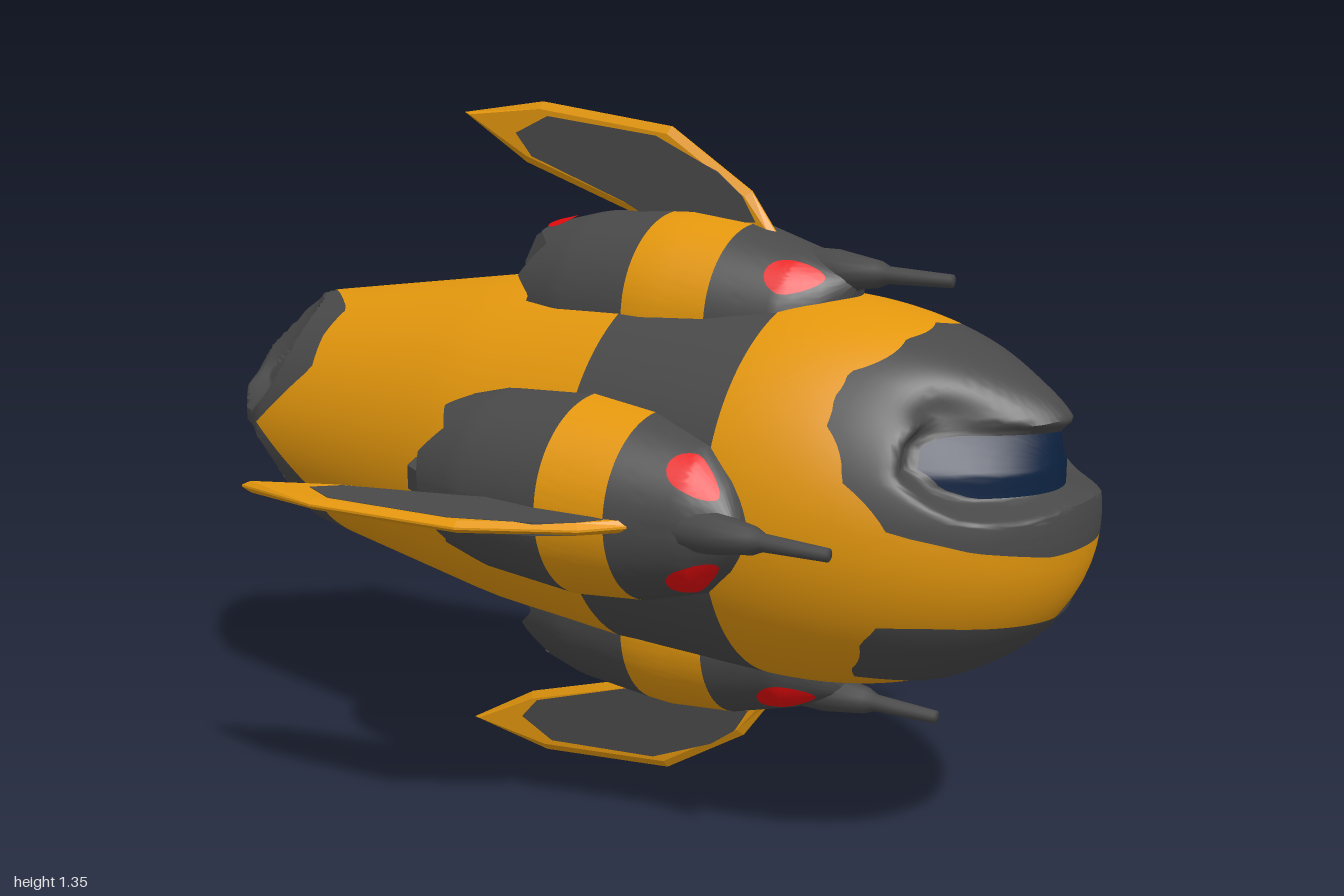
import * as THREE from 'three';
import { toCreasedNormals } from 'three/addons/utils/BufferGeometryUtils.js';

const mat = (name, color) => new THREE.MeshStandardMaterial({ name, color, side: THREE.DoubleSide });
const { hypot, sin, cos, abs, PI, min, max } = Math;
const { lerp, smoothstep } = THREE.MathUtils;

// Piecewise-linear lookup in [[x, y], ...]
function look(table, x) {
  if (x <= table[0][0]) return table[0][1];
  for (let i = 1; i < table.length; i++) {
    const [x0, y0] = table[i - 1], [x1, y1] = table[i];
    if (x <= x1) return lerp(y0, y1, (x - x0) / (x1 - x0));
  }
  return table[table.length - 1][1];
}

// Surface from a rule fn(u, v) -> [x, y, z]
function surface(nu, nv, fn, crease = 0.6) {
  const pos = [], idx = [];
  for (let j = 0; j <= nv; j++) for (let i = 0; i <= nu; i++) pos.push(...fn(i / nu, j / nv));
  for (let j = 0; j < nv; j++) for (let i = 0; i < nu; i++) {
    const a = j * (nu + 1) + i, d = a + nu + 1;
    idx.push(a, a + 1, d + 1, a, d + 1, d);
  }
  const g = new THREE.BufferGeometry();
  g.setAttribute('position', new THREE.Float32BufferAttribute(pos, 3));
  g.setIndex(idx);
  return toCreasedNormals(g, crease);
}

// Distance from a centre to a closed outline along an angle
function ray(outline, cx, cy, a) {
  const dx = cos(a), dy = sin(a);
  let best = 0;
  outline.forEach(([x0, y0], i) => {
    const [x1, y1] = outline[(i + 1) % outline.length];
    const ex = x1 - x0, ey = y1 - y0, den = dx * ey - dy * ex;
    if (abs(den) < 1e-9) return;
    const t = ((x0 - cx) * ey - (y0 - cy) * ex) / den;
    const s = ((x0 - cx) * dy - (y0 - cy) * dx) / den;
    if (t > 0 && s >= -1e-6 && s <= 1 + 1e-6) best = max(best, t);
  });
  return best;
}
const mirror = half => [...half, ...half.slice().reverse().filter(p => p[0] > 0).map(([x, y]) => [-x, y])];

// Hull rules: radius along z, nose height over the front, tail paint edge
const HULL = [[-1, 0], [-0.98, 0.04], [-0.92, 0.125], [-0.84, 0.2], [-0.76, 0.25], [-0.2, 0.335], [0.14, 0.36], [0.45, 0.36]];
const noseZ = (x, y) => 0.45 + 0.545 * Math.sqrt(max(0, 1 - Math.pow(hypot(x, y) / 0.36, 2.2)));
const fromDiagonal = a => abs((((a % (PI / 2)) + PI / 2) % (PI / 2)) - PI / 4);
const tailEdge = a => look([[0, -0.61], [0.28, -0.6], [PI / 4, -0.76]], fromDiagonal(a));

const MASK = mirror([[0, -0.03], [0.1, -0.03], [0.22, -0.01], [0.295, 0.02], [0.31, 0.1], [0.283, 0.185], [0.253, 0.226], [0.212, 0.264], [0.1, 0.31], [0, 0.325]]);
const VISOR = mirror([[0, 0.062], [0.15, 0.062], [0.185, 0.08], [0.203, 0.113], [0.185, 0.147], [0.15, 0.163], [0, 0.163]]);
const CHIN = mirror([[0, -0.295], [0.1, -0.292], [0.19, -0.277], [0.215, -0.255], [0.26, -0.19], [0.27, -0.147], [0.14, -0.155], [0, -0.163]]);
const CY = 0.113;

// Pod rules: centre offset and radius along z, ragged rear edge by angle
const POD_C = [[-0.2, 0.3], [0.45, 0.3], [0.51, 0.335], [0.54, 0.38]];
const POD_R = [[-0.15, 0.138], [-0.13, 0.145], [-0.02, 0.172], [0.18, 0.186], [0.32, 0.172], [0.45, 0.135], [0.51, 0.075], [0.54, 0.015]];
const TEETH = [[0, -0.13], [0.42, -0.14], [0.75, -0.09], [1.2, -0.14], [1.45, -0.1], [2, -0.13]];
const podPoint = (p, z, lift = 0) => {
  const r = look(POD_R, z) + lift;
  return [-r * sin(p), look(POD_C, z) + r * cos(p), z];
};

export function createModel() {
  const orange = mat('orange paint', 0xe4970d), grey = mat('dark grey', 0x494949);
  const blue = mat('visor blue', 0x0d2342), red = mat('red', 0xe80a0c);
  const root = new THREE.Group(), ship = new THREE.Group();
  ship.position.y = 0.68;
  root.add(ship);
  const add = (parent, name, geo, m) => {
    const mesh = new THREE.Mesh(geo, m);
    mesh.name = name;
    parent.add(mesh);
  };

  // Hull bands, from edge to edge along z, with four scoops in the tail
  const hull = (name, m, z0, z1, rows) => add(ship, name, surface(96, rows, (u, v) => {
    const a = u * 2 * PI, z = lerp(z0(a), z1(a), v);
    const q = hypot(fromDiagonal(a) / 0.72, (z + 0.82) / 0.13);
    const r = look(HULL, z) * (1 - 0.36 * max(0, min(1, 2.6 * (1 - q))));
    return [r * cos(a), r * sin(a), z];
  }), m);
  hull('scoopedTail', grey, () => -1, tailEdge, 48);
  hull('rearHull', orange, tailEdge, () => 0.14, 14);
  hull('hullBand', grey, () => 0.14, () => 0.45, 3);

  // Nose shell around the mask
  add(ship, 'noseShell', surface(128, 20, (u, v) => {
    const a = u * 2 * PI, dy = CY * sin(a);
    const outer = -dy + Math.sqrt(dy * dy - CY * CY + 0.36 * 0.36);
    const t = lerp(outer, ray(MASK, 0, CY, a), v * v);
    const x = t * cos(a), y = CY + t * sin(a);
    return [x, y, noseZ(x, y)];
  }), orange);

  // Curved visor leaning back at its upper ends; the mask has a brow bump and eye sockets and sinks to meet it
  const visorZ = (x, y) => 0.94 - 3.7 * x * x - 6 * max(0, y - 0.1) * min(abs(x), 0.15);
  const bump = (x, y, bx, by, s) => Math.exp(-((x - bx) ** 2 + (y - by) ** 2) / (s * s));
  add(ship, 'faceMask', surface(128, 20, (u, v) => {
    const a = u * 2 * PI;
    const t = lerp(ray(MASK, 0, CY, a), ray(VISOR, 0, CY, a), v);
    const x = t * cos(a), y = CY + t * sin(a);
    const brow = noseZ(x, y) + 0.03 * bump(x, y, 0, 0.2, 0.06)
      - 0.08 * (bump(x, y, 0.155, 0.18, 0.055) + bump(x, y, -0.155, 0.18, 0.055));
    const sink = smoothstep(v, lerp(0.85, 0.2, cos(a) ** 8), 1);
    return [x, y, lerp(brow, visorZ(x, y), sink)];
  }, 0.9), grey);
  add(ship, 'visor', surface(128, 8, (u, v) => {
    const a = u * 2 * PI, t = ray(VISOR, 0, CY, a) * (1 - v);
    const x = t * cos(a), y = CY + t * sin(a);
    return [x, y, visorZ(x, y)];
  }), blue);

  // Chin plate, lifted slightly off the nose
  add(ship, 'chinPlate', surface(128, 12, (u, v) => {
    const a = u * 2 * PI, t = ray(CHIN, 0, -0.22, a) * (1 - v);
    const x = t * cos(a), y = -0.22 + t * sin(a), k = 1.012;
    return [x * k, y * k, noseZ(x, y) + 0.004];
  }), grey);

  // Shared pod, gun and fin geometry
  const podPart = (z0, z1, rows, span = 4) => surface(96, rows, (u, v) => {
    const p = (u - 0.5) * span;
    return podPoint(p, lerp(z0(abs(p)), z1, v));
  });
  const podNose = podPart(() => 0.32, 0.54, 12, 2 * PI);
  const spot = (p0, z0, a, b) => surface(24, 6, (u, v) => {
    const w = u * 2 * PI, t = 1 - v;
    return podPoint(p0 + a * t * cos(w), z0 + b * t * sin(w), 0.004);
  });
  const gun = new THREE.LatheGeometry([[0.038, 0.44], [0.038, 0.5], [0.025, 0.58], [0.016, 0.6], [0.012, 0.725], [0, 0.725]]
    .map(([r, z]) => new THREE.Vector2(r, z)), 12).rotateX(PI / 2).translate(0, 0.4, 0);
  const plate = (pts, depth, bevel) => new THREE.ExtrudeGeometry(
    new THREE.Shape(pts.map(([z, r]) => new THREE.Vector2(z, r))),
    { depth, bevelEnabled: bevel > 0, bevelThickness: 0.009, bevelSize: bevel, bevelOffset: -bevel, bevelSegments: 1 },
  ).translate(0, 0, -depth / 2).rotateY(-PI / 2);
  const fin = plate([[0.37, 0.45], [0.31, 0.53], [0.13, 0.64], [-0.18, 0.675], [-0.38, 0.647], [-0.22, 0.555], [0.05, 0.47], [0.1, 0.44]], 0.004, 0.014);
  const finInlay = plate([[0.325, 0.475], [0.295, 0.522], [0.24, 0.562], [0.1, 0.622], [-0.16, 0.648], [-0.24, 0.612], [-0.2, 0.568], [0.03, 0.492], [0.1, 0.46]], 0.024, 0);
  const tailStrut = plate([[-0.04, 0.33], [-0.04, 0.455], [-0.13, 0.443], [-0.18, 0.415], [-0.21, 0.36], [-0.205, 0.33]], 0.045, 0);

  // Four pods around the hull; the upper and lower ones have a wider orange band
  ['top', 'right', 'bottom', 'left'].forEach((side, i) => {
    const pod = new THREE.Group(), bandZ = i % 2 ? 0.18 : 0.145;
    pod.name = side + 'Pod';
    pod.rotation.z = i * PI / 2;
    ship.add(pod);
    add(pod, 'podRear', podPart(p => look(TEETH, p), bandZ, 14), grey);
    add(pod, 'podBand', podPart(() => bandZ, 0.32, 4), orange);
    add(pod, 'podNose', podNose, grey);
    add(pod, 'tailStrut', tailStrut, grey);
    add(pod, 'gun', gun, grey);
    add(pod, 'fin', fin, orange);
    add(pod, 'finInlay', finInlay, grey);
    for (const s of [-1, 1]) add(pod, 'redLight', spot(s * 0.8, 0.457, 0.28, 0.048), red);
    if (i === 0) add(pod, 'rearRedMark', spot(0.22, -0.105, 0.2, 0.03), red);
  });
  return root;
}
